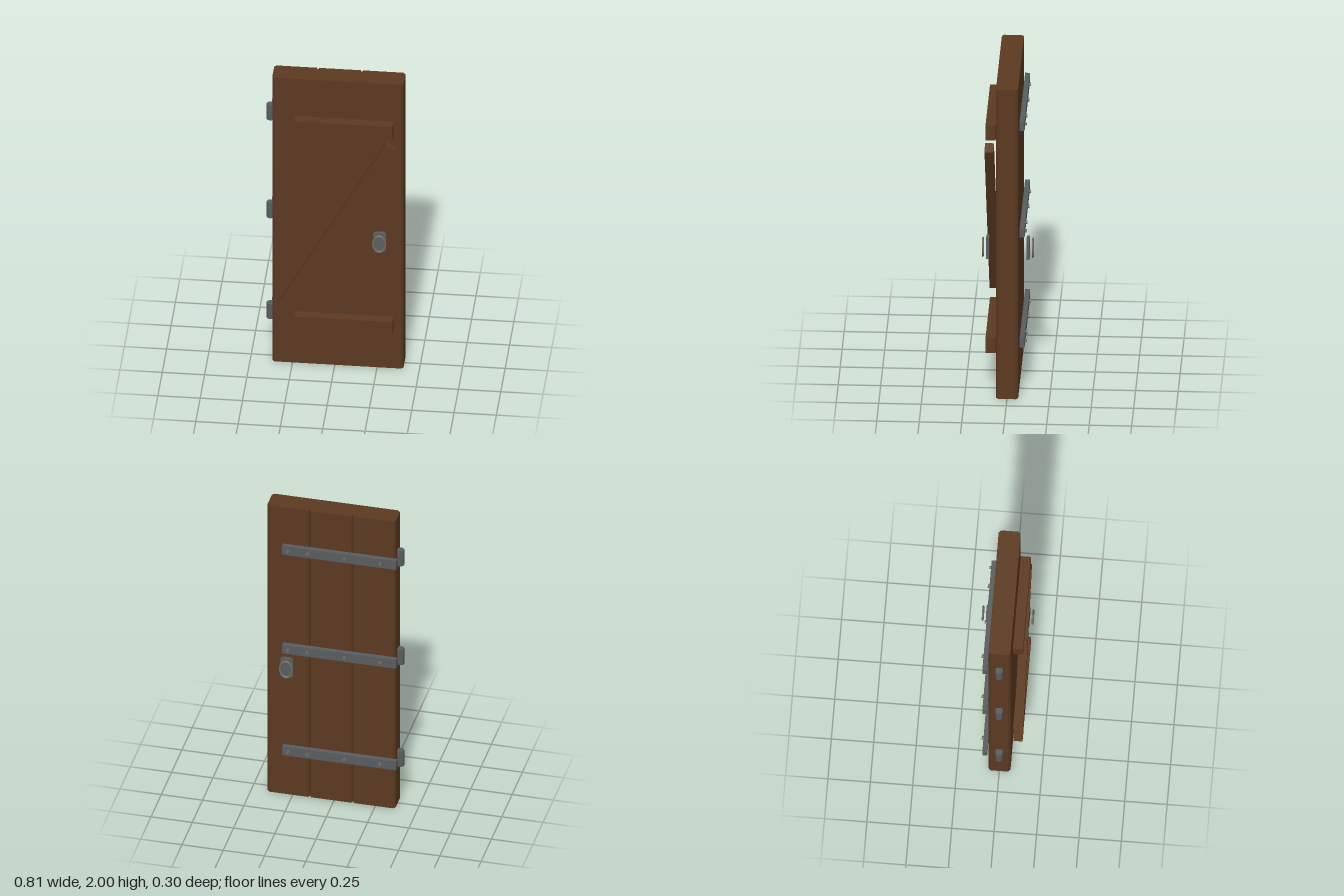
import * as THREE from 'three';

export function createModel() {
  const door = new THREE.Group();
  door.name = 'plankDoor';

  const mat = (name, color) => {
    const m = new THREE.MeshStandardMaterial({ color });
    m.name = name;
    return m;
  };
  const wood = mat('brown wood', 0x5c3a21);
  const iron = mat('dark iron', 0x5a5d5f);
  const worn = mat('worn iron', 0x6d6c64);

  const add = (name, geometry, material, x, y, z, parent = door) => {
    const m = new THREE.Mesh(geometry, material);
    m.name = name;
    m.position.set(x, y, z);
    parent.add(m);
    return m;
  };

  // Plank slab: chamfered plan outline with V grooves on the back, extruded upward
  const L = -0.37, R = 0.405, D = 0.065, c = 0.014, groove = 0.007;
  const plan = [[L + c, -D], [R - c, -D], [R, -D + c], [R, D - c], [R - c, D]];
  for (const g of [0.148, -0.112]) plan.push([g + groove, D], [g, D - 0.019], [g - groove, D]);
  plan.push([L + c, D], [L, D - c], [L, -D + c]);
  const slab = new THREE.ExtrudeGeometry(
    new THREE.Shape(plan.map(([x, y]) => new THREE.Vector2(x, y))),
    { depth: 2, bevelEnabled: false });
  slab.rotateX(-Math.PI / 2);
  add('planks', slab, wood, 0, 0, 0);

  // Front battens and diagonal brace
  for (const y of [0.318, 1.693])
    add('batten', new THREE.BoxGeometry(0.58, 0.096, 0.06), wood, 0.058, y, 0.099);
  const brace = add('brace', new THREE.BoxGeometry(1.334, 0.067, 0.053), wood, 0.015, 1.006, 0.1075);
  brace.rotation.z = Math.atan2(1.171, 0.64);

  // Hinge barrels, straps and nails
  for (const y of [0.32, 1.03, 1.72]) {
    const hinge = new THREE.Group();
    hinge.name = 'hinge';
    hinge.position.y = y;
    door.add(hinge);
    add('barrel', new THREE.CylinderGeometry(0.022, 0.022, 0.105, 24), iron, -0.387, 0, 0, hinge);
    add('strap', new THREE.BoxGeometry(0.69, 0.06, 0.029), iron, -0.04, 0, -0.0845, hinge);
    for (const x of [-0.287, -0.071, 0.153, 0.27]) {
      const nail = new THREE.CylinderGeometry(0.01, 0.01, 0.014, 12).rotateX(Math.PI / 2);
      add('nail', nail, worn, x, 0, -0.103, hinge);
    }
  }

  // Handle plate outline with stepped corners
  const w = 0.037, h = 0.066, n = 0.009;
  const corners = [[w, h - n], [w - n, h - n], [w - n, h]];
  const mirrored = (sx, sy) => corners.map(([x, y]) => [x * sx, y * sy]);
  const outline = [
    ...mirrored(1, 1), ...mirrored(-1, 1).reverse(),
    ...mirrored(-1, -1), ...mirrored(1, -1).reverse(),
  ];
  const plate = new THREE.ExtrudeGeometry(
    new THREE.Shape(outline.map(([x, y]) => new THREE.Vector2(x, y))),
    { depth: 0.018, bevelEnabled: false });

  // Plate and oval ring on both faces
  const ring = new THREE.TorusGeometry(0.0365, 0.006, 10, 32).scale(1, 1.48, 0.9);
  for (const side of [1, -1]) {
    const handle = new THREE.Group();
    handle.name = side > 0 ? 'frontHandle' : 'backHandle';
    handle.position.set(0.271, 0.921, 0);
    if (side < 0) handle.rotation.y = Math.PI;
    door.add(handle);
    add('plate', plate, iron, 0, 0, 0.11, handle);
    add('ring', ring, worn, 0, 0, 0.147, handle);
  }

  return door;
}
